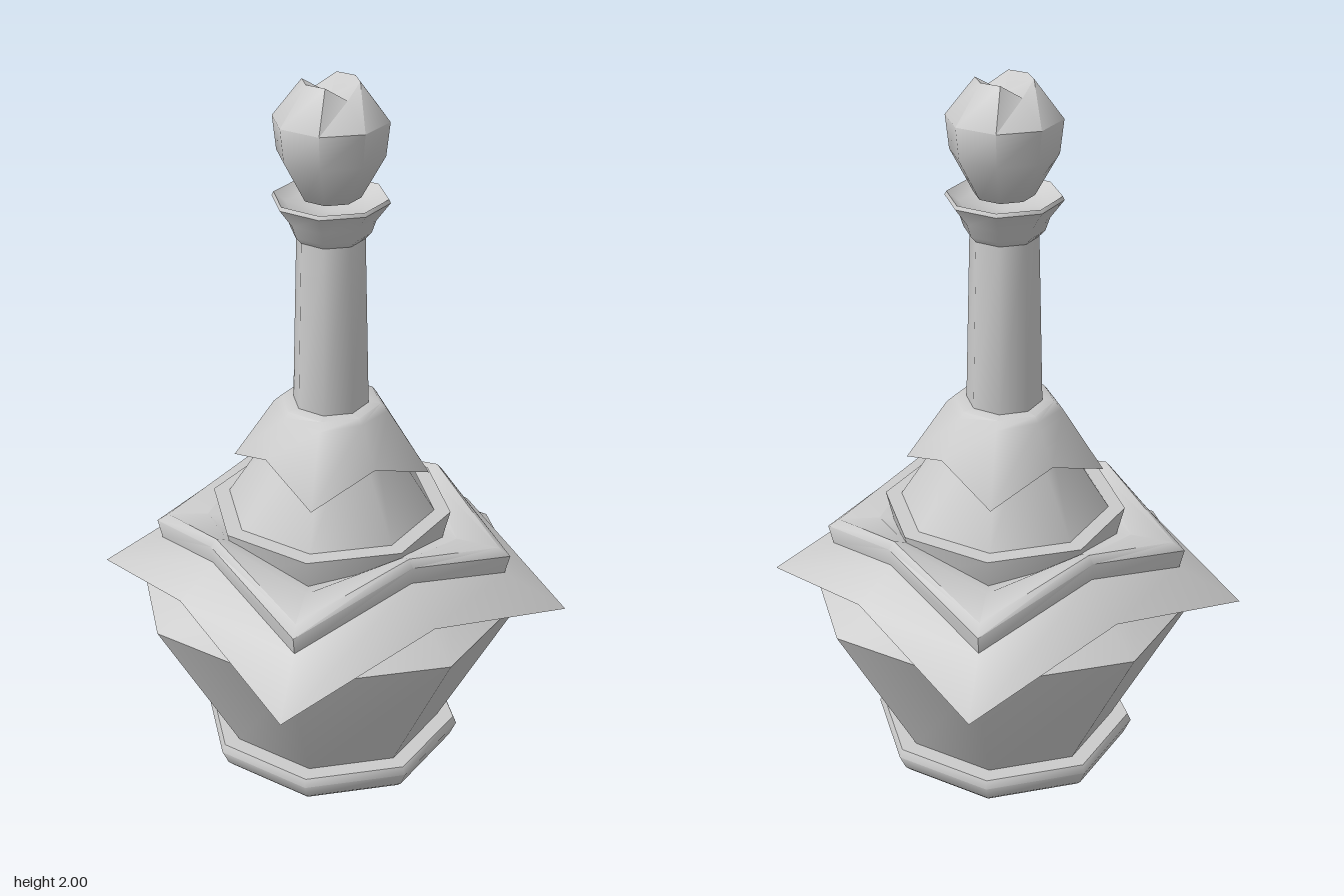
import * as THREE from 'three';
import { toCreasedNormals } from 'three/addons/utils/BufferGeometryUtils.js';

const SIDES = 8;
const material = new THREE.MeshStandardMaterial({ color: 0xcccccc, side: THREE.DoubleSide });

// Eight-sided shell through rings listed bottom to top.
// Ring: [radius, y] or [axis radius, axis y, corner radius, corner y].
function shell(name, rings, adjust) {
  const positions = [], indices = [];
  for (const [r, y, rc = r, yc = y] of rings) {
    for (let i = 0; i < SIDES; i++) {
      const a = (i / SIDES) * Math.PI * 2;
      const corner = i % 2 === 1;
      const radius = corner ? rc : r;
      const p = new THREE.Vector3(Math.sin(a) * radius, corner ? yc : y, Math.cos(a) * radius);
      if (adjust) adjust(p);
      positions.push(p.x, p.y, p.z);
    }
  }
  for (let j = 0; j < rings.length - 1; j++) {
    for (let i = 0; i < SIDES; i++) {
      const k = (i + 1) % SIDES;
      const a = j * SIDES + i, b = j * SIDES + k;
      const c = a + SIDES, d = b + SIDES;
      if (rings[j][0] > 0) indices.push(a, b, d);
      if (rings[j + 1][0] > 0) indices.push(a, d, c);
    }
  }
  const geometry = new THREE.BufferGeometry();
  geometry.setAttribute('position', new THREE.Float32BufferAttribute(positions, 3));
  geometry.setIndex(indices);
  const mesh = new THREE.Mesh(toCreasedNormals(geometry, 0.9), material);
  mesh.name = name;
  return mesh;
}

export function createModel() {
  const model = new THREE.Group();
  model.name = 'pawnFigure';

  // Foot and flaring lower body
  model.add(shell('foot', [[0, 0], [0.345, 0], [0.36, 0.015], [0.38, 0.06], [0.37, 0.083], [0.31, 0.083]]));
  model.add(shell('body', [[0.32, 0.08], [0.57, 0.55], [0.36, 0.67]]));

  // Square collar whose corners hang lower than its sides
  model.add(shell('largeCollar', [
    [0.495, 0.628, 0.676, 0.505],
    [0.388, 0.715, 0.5, 0.605],
    [0.392, 0.765, 0.513, 0.66],
    [0.375, 0.785, 0.48, 0.685],
    [0.34, 0.77, 0.36, 0.7],
    [0.3, 0.74, 0.3, 0.7],
  ]));

  // Octagonal lid and cone rising out of the collar
  model.add(shell('lid', [[0.31, 0.66], [0.34, 0.785], [0.28, 0.787]]));
  model.add(shell('cone', [[0.295, 0.785], [0.11, 1.08]]));

  // Smaller collar in the same style
  model.add(shell('smallCollar', [
    [0.213, 0.98, 0.276, 0.905],
    [0.15, 1.09, 0.16, 1.085],
    [0.138, 1.105],
    [0.09, 1.107],
  ]));

  // Neck and the flared cup at its top
  model.add(shell('neck', [[0.105, 1.1], [0.092, 1.6]]));
  model.add(shell('cup', [
    [0.09, 1.58], [0.108, 1.6], [0.12, 1.635], [0.157, 1.685], [0.152, 1.695], [0.12, 1.67], [0, 1.65],
  ]));

  // Round head with a groove running front to back across the crown
  model.add(shell('head', [
    [0, 1.67], [0.08, 1.695], [0.143, 1.81], [0.153, 1.9], [0.075, 2], [0, 1.965],
  ], (p) => {
    if (p.y > 1.95 && Math.abs(p.x) < 0.01) p.y = 1.965;
  }));

  return model;
}
